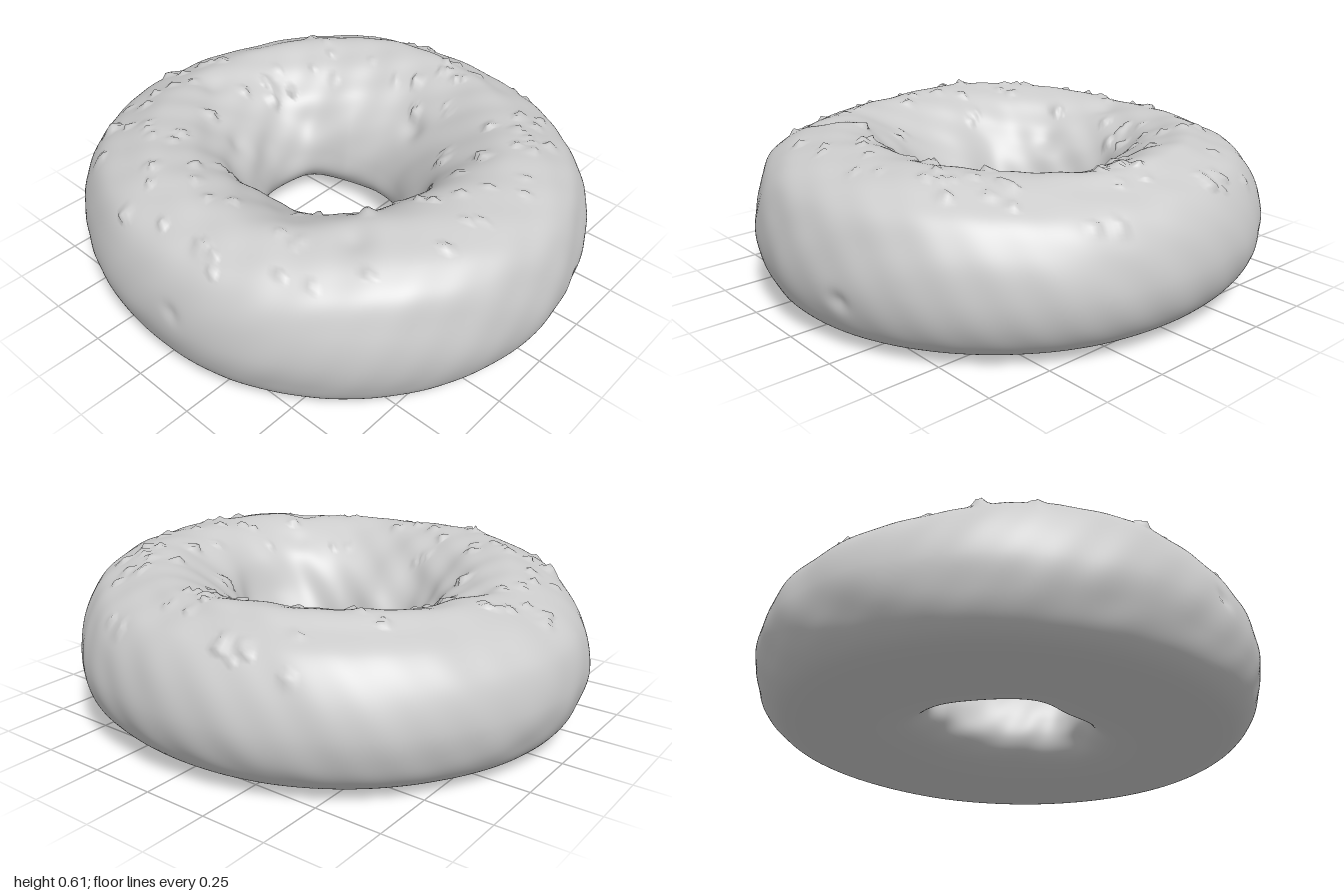
import * as THREE from 'three';

// Values every 30 degrees, from +x towards +z
const HOLE = [0.335, 0.31, 0.26, 0.232, 0.28, 0.28, 0.305, 0.32, 0.255, 0.238, 0.255, 0.27];
const OUTER = [0.995, 0.98, 0.955, 0.94, 0.955, 0.985, 0.997, 0.97, 0.955, 0.942, 0.96, 0.98];
const TOP = [0.595, 0.6, 0.575, 0.585, 0.597, 0.57, 0.55, 0.565, 0.585, 0.575, 0.57, 0.59];
const FULL = [0.9, 0.9, 0.7, 0.65, 0.5, 0.2, 0, 0, 0.1, 0.1, 0.2, 0.6]; // fullness of the outer shoulder

// Smooth periodic lookup in one of the tables
function around(table, angle) {
  const n = table.length, t = ((angle / (2 * Math.PI)) % 1) * n, i = Math.floor(t), f = t - i;
  const at = (k) => table[(k + n) % n];
  const a = at(i - 1), b = at(i), c = at(i + 1), d = at(i + 2);
  return b + 0.5 * f * (c - a + f * (2 * a - 5 * b + 4 * c - d + f * (3 * (b - c) + d - a)));
}

function seeded(seed) {
  return () => (seed = (seed * 16807) % 2147483647) / 2147483647;
}

// Closed cross-section of the dough at one angle, as (radius, height)
function section(angle, count) {
  const h = around(HOLE, angle), R = around(OUTER, angle), y = around(TOP, angle), s = around(FULL, angle);
  const base = 0.018 - 0.012 * Math.sin(angle);
  const mix = THREE.MathUtils.lerp;
  const points = [
    [h + 0.17, base + 0.005], [0.64, base], [R - 0.13, base + 0.005], [R - 0.06, base + 0.055],
    [R - 0.015, 0.16], [R, 0.26], [R - mix(0.035, 0.018, s), 0.39],
    [R - mix(0.11, 0.06, s), y - mix(0.085, 0.1, s)], [R - mix(0.21, 0.14, s), y - 0.035],
    [0.67, y], [0.55, y - 0.03], [mix(h, 0.54, 0.55), y - 0.12],
    [h + 0.06, 0.34], [h + 0.012, 0.23], [h + 0.005, 0.14], [h + 0.06, base + 0.045],
  ].map(([r, py]) => new THREE.Vector3(r, py, 0));
  return new THREE.CatmullRomCurve3(points, true).getPoints(count).slice(0, count);
}

// Sections joined into a closed ring, faces turned outwards
function ringGeometry(sections, across) {
  const positions = [], index = [];
  for (let i = 0; i < sections; i++) {
    const a = (i / sections) * Math.PI * 2, next = (i + 1) % sections;
    section(a, across).forEach((p, j) => {
      positions.push(p.x * Math.cos(a), p.y, p.x * Math.sin(a));
      const k = (j + 1) % across;
      const A = i * across + j, B = next * across + j, C = next * across + k, D = i * across + k;
      index.push(A, C, B, A, D, C);
    });
  }
  const geometry = new THREE.BufferGeometry();
  geometry.setAttribute('position', new THREE.Float32BufferAttribute(positions, 3));
  geometry.setIndex(index);
  geometry.computeVertexNormals();
  return geometry;
}

// Small lifted flakes, each a ramp that ends in an abrupt edge
function makeFlakes() {
  const random = seeded(4217);
  return Array.from({ length: 110 }, () => {
    const a = random() * Math.PI * 2, r = 0.4 + 0.5 * random(), turn = random() * Math.PI * 2;
    return {
      x: r * Math.cos(a), z: r * Math.sin(a), dx: Math.cos(turn), dz: Math.sin(turn),
      size: 0.014 + 0.02 * random(), lift: 0.007 + 0.012 * random(),
    };
  });
}

// Broad dents: centre, radius, depth
const DENTS = [
  [0.52, 0.56, 0.46, 0.06, 0.025], [0.42, 0.5, 0.3, 0.06, 0.025], [-0.6, 0.53, 0.08, 0.06, 0.018],
  [0.1, 0.42, -0.36, 0.05, 0.02], [0.97, 0.2, -0.25, 0.035, 0.018], [-0.45, 0.45, -0.3, 0.06, 0.02],
  [0.9, 0.3, -0.5, 0.03, 0.012], [-0.35, 0.4, 0.18, 0.05, 0.015], [0.12, 0.32, 0.93, 0.03, 0.01],
];

// Gentle lumps, strongest on the inner wall
function lumps({ x, y, z }) {
  const strength = 0.002 + 0.003 * (1 - THREE.MathUtils.smoothstep(Math.hypot(x, z), 0.4, 0.8));
  return strength * THREE.MathUtils.smoothstep(y, 0.02, 0.15) *
    (Math.sin(13 * x + 5 * z) + Math.sin(17 * z - 7 * x + 9 * y) + Math.sin(29 * x - 23 * y) * Math.sin(27 * z + 4));
}

function roughen(geometry) {
  const flakes = makeFlakes();
  const pos = geometry.attributes.position, normal = geometry.attributes.normal;
  const p = new THREE.Vector3(), n = new THREE.Vector3(), centre = new THREE.Vector3();
  for (let i = 0; i < pos.count; i++) {
    p.fromBufferAttribute(pos, i);
    n.fromBufferAttribute(normal, i);
    let d = lumps(p);
    for (const [x, y, z, radius, depth] of DENTS) {
      d -= depth * Math.exp(-p.distanceToSquared(centre.set(x, y, z)) / (radius * radius));
    }
    if (n.y > 0.2) {
      for (const f of flakes) {
        const x = p.x - f.x, z = p.z - f.z;
        const u = (x * f.dx + z * f.dz) / f.size, v = (z * f.dx - x * f.dz) / f.size;
        if (u > -1.5 && u < 0.3 && Math.abs(v) < 1) d += f.lift * (1 + u / 1.5) * (1 - v * v);
      }
    }
    p.addScaledVector(n, d);
    pos.setXYZ(i, p.x, Math.max(p.y, 0), p.z);
  }
  geometry.computeVertexNormals();
}

export function createModel() {
  const group = new THREE.Group();
  group.name = 'ringBread';

  // Uneven ring of dough with a flaky crust
  const geometry = ringGeometry(300, 144);
  roughen(geometry);
  const dough = new THREE.Mesh(geometry, new THREE.MeshStandardMaterial({ color: 0xcccccc }));
  dough.name = 'dough';
  group.add(dough);
  return group;
}
